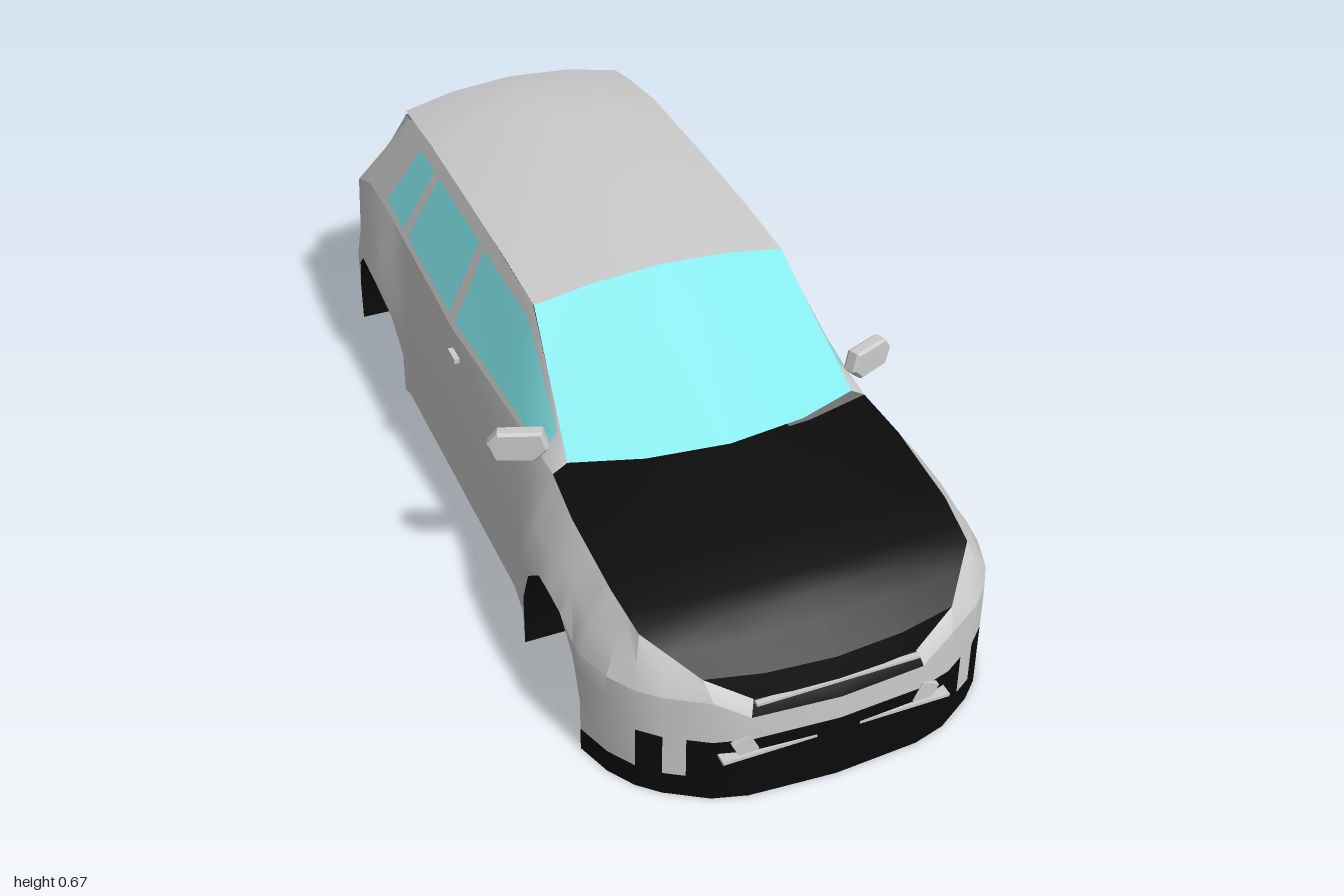
import * as THREE from 'three';
import { toCreasedNormals } from 'three/addons/utils/BufferGeometryUtils.js';

const paint = (color) => new THREE.MeshStandardMaterial({ color, side: THREE.DoubleSide });
const GREY = paint(0xcccccc), BLACK = paint(0x0b0b0b), GLASS = paint(0x80e6e9), RED = paint(0xd0140a);
const lerp = THREE.MathUtils.lerp;
const mix = (a, b, t) => a.map((v, i) => lerp(v, b[i], t));

// Half width of the body along its length: z, x
const PLAN = [
  [1, 0], [0.988, 0.18], [0.968, 0.25], [0.918, 0.33], [0.88, 0.37], [0.825, 0.405], [0.75, 0.43],
  [0.43, 0.428], [0.34, 0.4], [0.26, 0.39], [-0.46, 0.39], [-0.565, 0.42], [-0.69, 0.417],
  [-0.81, 0.4], [-0.89, 0.372], [-0.95, 0.3], [-0.977, 0.24], [-1, 0],
];
// Shoulder line: body z, then its x, y, z
const SHOULDER = [
  [1, 0, 0.235, 0.985], [0.988, 0.17, 0.237, 0.972], [0.968, 0.26, 0.29, 0.94], [0.88, 0.345, 0.348, 0.84],
  [0.75, 0.356, 0.37, 0.728], [0.53, 0.357, 0.391, 0.53], [0.4, 0.346, 0.401, 0.4],
  [-0.13, 0.376, 0.42, -0.13], [-0.63, 0.369, 0.442, -0.63], [-0.785, 0.366, 0.43, -0.78],
  [-0.84, 0.373, 0.402, -0.848], [-0.95, 0.28, 0.405, -0.925], [-1, 0, 0.42, -0.947],
];
// Body z to roof edge z
const RIM = [[0.4, 0.4], [-0.13, -0.14], [-0.46, -0.43], [-0.565, -0.52], [-0.785, -0.69], [-0.84, -0.73], [-1, -0.772]];
// Roof stations: edge z, centre z, edge x, edge y, centre y
const ROOF = [
  [0.4, 0.487, 0.315, 0.42, 0.437], [0.125, 0.125, 0.278, 0.615, 0.645], [-0.05, -0.05, 0.278, 0.625, 0.656],
  [-0.29, -0.29, 0.277, 0.63, 0.668], [-0.555, -0.555, 0.275, 0.63, 0.667], [-0.7, -0.71, 0.27, 0.615, 0.65],
  [-0.775, -0.79, 0.265, 0.602, 0.632],
];
// Hood centre line: z, y
const HOOD = [[0.985, 0.235], [0.97, 0.28], [0.87, 0.36], [0.79, 0.382], [0.46, 0.438]];

// Piecewise-linear lookup in rows sorted by falling first value
function lookup(table, z) {
  if (z >= table[0][0]) return table[0];
  const i = table.findIndex((row) => row[0] <= z);
  if (i < 0) return table[table.length - 1];
  const a = table[i - 1], b = table[i];
  return mix(a, b, (a[0] - z) / (a[0] - b[0]));
}

// Outline stations from front centre to rear centre, stepping over the wheel arches
const floorY = (z) => lerp(0.002, 0.03, THREE.MathUtils.clamp((0.6 - z) / 1.2, 0, 1));
function station(z, bottom = floorY(z)) {
  return { z, bottom, x: lookup(PLAN, z)[1], top: lookup(SHOULDER, z).slice(1) };
}
function arch(centre, radius) {
  const rise = [[1, 0.13], [0.78, 0.215], [0.37, 0.27]];
  const front = rise.map(([k, y]) => station(centre + k * radius, y));
  const back = rise.map(([k, y]) => station(centre - k * radius, y)).reverse();
  return [station(centre + radius), ...front, station(centre, 0.272), ...back, station(centre - radius)];
}
const stations = (...zs) => zs.map((z) => station(z));
const OUTLINE = [
  ...stations(1, 0.988, 0.968, 0.942, 0.918, 0.88, 0.825), ...arch(0.59, 0.16),
  ...stations(0.4, 0.34, 0.26, 0.125, -0.13, -0.17, -0.46), ...arch(-0.645, 0.165),
  ...stations(-0.84, -0.89, -0.95, -0.977, -0.992, -1),
];

// Skin over a grid of points on the +x half, mirrored to -x; pick chooses the faces
function skin(group, name, material, grid, pick = () => true) {
  const pos = [];
  const tri = (a, b, c) => {
    pos.push(...a, ...b, ...c);
    for (const p of [a, c, b]) pos.push(-p[0], p[1], p[2]);
  };
  for (let i = 0; i < grid.length - 1; i++) {
    for (let j = 0; j < grid[i].length - 1; j++) {
      if (!pick(i, j)) continue;
      const a = grid[i][j], b = grid[i + 1][j], c = grid[i + 1][j + 1], d = grid[i][j + 1];
      tri(a, b, c);
      tri(a, c, d);
    }
  }
  const g = new THREE.BufferGeometry();
  g.setAttribute('position', new THREE.Float32BufferAttribute(pos, 3));
  part(group, name, toCreasedNormals(g, 0.5), material, 0, 0, 0);
}

function part(group, name, geometry, material, x, y, z) {
  const m = new THREE.Mesh(geometry, material);
  m.name = name;
  m.position.set(x, y, z);
  group.add(m);
  return m;
}

// One vertical line of the lower body
function wallColumn({ x, z, bottom, top }) {
  const rear = z < -0.8;
  const waist = Math.max(bottom, Math.min(rear ? 0.22 : 0.25, top[1] - 0.03));
  const col = [bottom, 0.055, 0.15, 0.2, waist].map((y) => [x, Math.min(waist, Math.max(y, bottom)), z]);
  const mid = mix(col[4], top, rear ? 0.55 : 0.4);
  mid[1] = rear ? waist + 0.04 : (waist + top[1]) / 2;
  return [...col, mid, top];
}

// One line of the cabin, from shoulder to roof edge
function cabinColumn({ z, top }) {
  const rz = lookup(RIM, z)[1], r = lookup(ROOF, rz), tail = z <= -0.84;
  const rx = Math.min(0.27, top[0] * 1.1);
  const rim = tail ? [rx, 0.602 + 0.018 * (1 - (rx / 0.27) ** 2), rz] : [r[2], r[3], rz];
  return [0, 0.07, 0.5, tail ? 0.95 : 0.85, 1].map((t) => mix(top, rim, t));
}

// Floor and wheel well below one station
function floorColumn({ x, z, bottom }) {
  const inner = Math.min(x, 0.27), y = floorY(z);
  return [[0, y, z], [inner, y, z], [inner, bottom, z], [x, bottom, z]];
}

// Crowned line from an edge point to the centre
function crown(edge, centre) {
  return [0, 0.45, 1].map((t) => {
    const k = 1 - (1 - t) ** 2;
    return [edge[0] * (1 - t), lerp(edge[1], centre[1], k), lerp(edge[2], centre[2], k)];
  });
}

export function createModel() {
  const car = new THREE.Group();
  car.name = 'car';

  // Lower body, sorted face by face into its parts
  const zone = (i, j) => {
    const z = OUTLINE[i].z, next = OUTLINE[i + 1].z;
    if (j === 0 && z > 0.76) return 'frontLip';
    if (j === 0 && z < -0.8) return 'rearDiffuser';
    if (j === 1 && z > 0.945) return 'lowerGrille';
    if (j === 1 && z > 0.9 && z < 0.93) return 'bumperVents';
    if (j >= 4 && z > 0.99) return 'upperGrille';
    if (j >= 4 && z > 0.83) return 'headlights';
    if (j === 5 && z <= -0.84 && next > -0.98) return 'tailLights';
    return 'body';
  };
  const zones = {
    body: GREY, headlights: GREY, frontLip: BLACK, rearDiffuser: BLACK,
    lowerGrille: BLACK, bumperVents: BLACK, upperGrille: BLACK, tailLights: RED,
  };
  const wall = OUTLINE.map(wallColumn);
  for (const [name, material] of Object.entries(zones)) skin(car, name, material, wall, (i, j) => zone(i, j) === name);
  skin(car, 'underside', BLACK, OUTLINE.map(floorColumn));

  // Hood, bowed from the shoulder line to the centre
  const hood = OUTLINE.filter((s) => s.z >= 0.4).map(({ top }) => {
    const bow = lerp(0.087, 0.03, Math.min(1, (top[2] - 0.4) / 0.35));
    const z = Math.min(0.985, top[2] + bow);
    return crown(top, [0, lookup(HOOD, z)[1], z]);
  });
  skin(car, 'hood', BLACK, hood);

  // Windshield and roof share one crowned surface
  const roof = ROOF.map(([ze, zc, x, ye, yc]) => crown([x, ye, ze], [0, yc, zc]));
  skin(car, 'windshield', GLASS, roof, (i) => i === 0);
  skin(car, 'roof', GREY, roof, (i) => i > 0);

  // Cabin sides and tailgate with their windows
  const cabin = OUTLINE.filter((s) => s.z <= 0.4);
  const pane = (i, j) => {
    const z = cabin[i].z;
    if (j < 1 || j > 2) return 'pillars';
    if (z <= -0.977) return 'rearWindow';
    const open = (z <= 0.34 && z > -0.13) || (z <= -0.17 && z > -0.475) || (z < -0.5 && z > -0.62);
    return open ? 'sideWindows' : 'pillars';
  };
  const cabinGrid = cabin.map(cabinColumn);
  for (const [name, material] of [['pillars', GREY], ['sideWindows', GLASS], ['rearWindow', GLASS]]) {
    skin(car, name, material, cabinGrid, (i, j) => pane(i, j) === name);
  }

  // Bumper trim
  part(car, 'grilleTrim', new THREE.BoxGeometry(0.34, 0.006, 0.012), GREY, 0, 0.234, 0.982);
  part(car, 'chinBar', new THREE.BoxGeometry(0.48, 0.007, 0.03), GREY, 0, 0.117, 0.982);

  // Paired details
  const mirrorShape = new THREE.Shape([[-0.055, -0.002], [-0.03, -0.028], [0.045, -0.03], [0.058, 0.004],
    [0.04, 0.028], [-0.045, 0.032]].map(([x, y]) => new THREE.Vector2(x, y)));
  const mirrorGeometry = new THREE.ExtrudeGeometry(mirrorShape, {
    depth: 0.02, bevelThickness: 0.006, bevelSize: 0.005, bevelSegments: 1 });
  for (const s of [1, -1]) {
    const side = new THREE.Group();
    side.name = s > 0 ? 'leftDetails' : 'rightDetails';
    side.scale.x = s;
    car.add(side);
    part(side, 'mirror', mirrorGeometry, GREY, 0.385, 0.435, 0.315).rotation.y = 0.42;
    part(side, 'doorHandle', new THREE.BoxGeometry(0.012, 0.012, 0.045), GREY, 0.386, 0.372, -0.1);
    part(side, 'grilleStrut', new THREE.BoxGeometry(0.04, 0.045, 0.012), GREY, 0.19, 0.135, 0.984).rotation.z = -0.45;
    for (const x of [0.13, 0.17]) {
      part(side, 'exhaustTip', new THREE.CylinderGeometry(0.016, 0.016, 0.06, 12, 1, true), GREY, x, 0.037, -0.97)
        .rotation.x = Math.PI / 2;
      part(side, 'exhaustBore', new THREE.CircleGeometry(0.015, 12), BLACK, x, 0.037, -0.996).rotation.y = Math.PI;
    }
  }
  return car;
}
